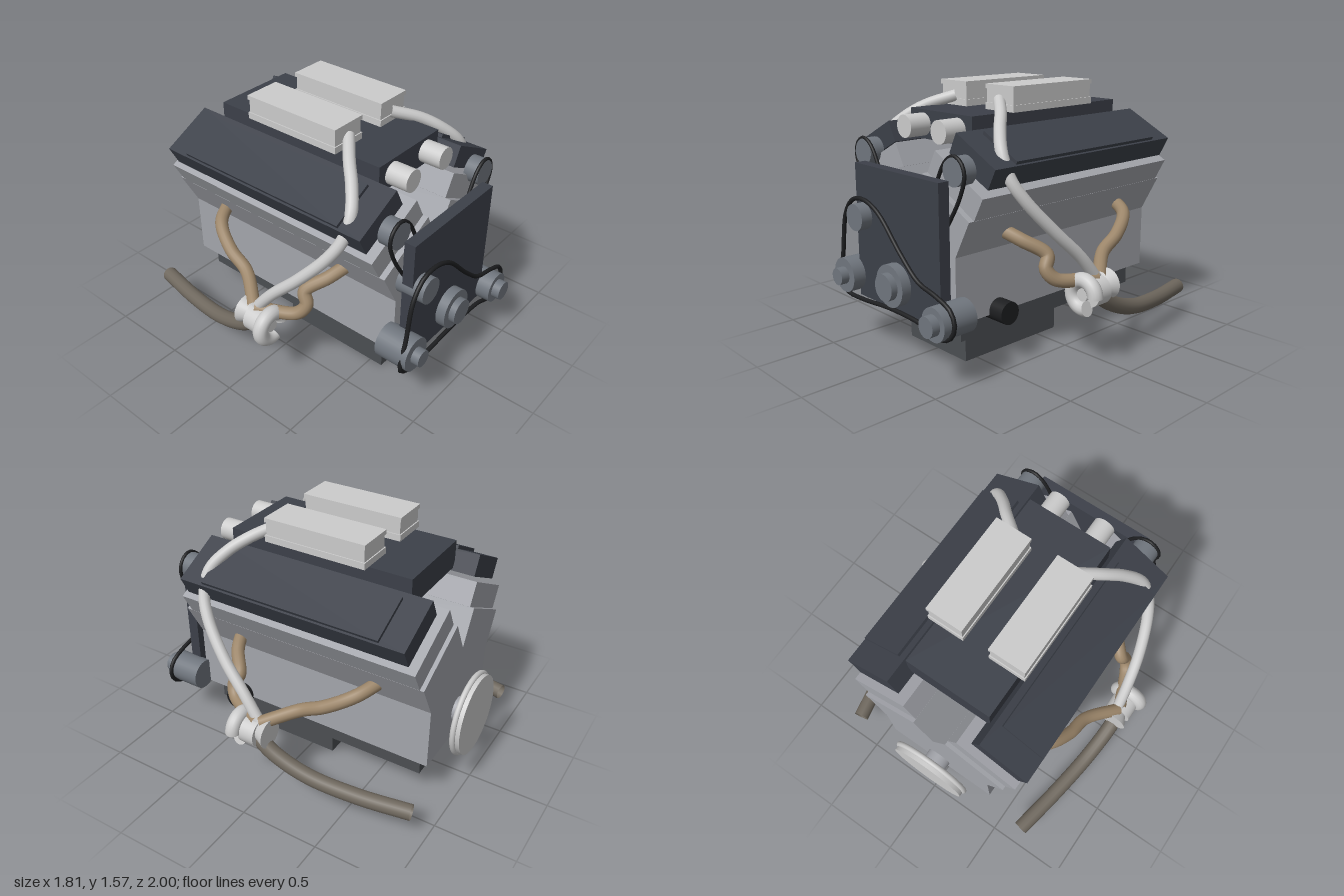
import * as THREE from 'three';

const paint = (color) => new THREE.MeshStandardMaterial({ color, side: THREE.DoubleSide });

export function createModel() {
  const model = new THREE.Group();
  const mat = {
    light: paint(0xcccccc), block: paint(0xa3a5ab), dark: paint(0x3c4049), pan: paint(0x4b4e52),
    pulley: paint(0x70767e), tan: paint(0x9c866a), pipe: paint(0x6f685e), rubber: paint(0x1d1e20),
  };

  const add = (name, geometry, material, x = 0, y = 0, z = 0, parent = model) => {
    const mesh = new THREE.Mesh(geometry, material);
    mesh.name = name;
    mesh.position.set(x, y, z);
    parent.add(mesh);
    return mesh;
  };
  // Box given by its limits on each axis
  const box = (name, material, [x0, x1], [y0, y1], [z0, z1]) =>
    add(name, new THREE.BoxGeometry(x1 - x0, y1 - y0, z1 - z0), material,
      (x0 + x1) / 2, (y0 + y1) / 2, (z0 + z1) / 2);
  // Cylinder lying along z from z0 to z1
  const disc = (name, material, x, y, r, z0, z1, rBack = r) =>
    add(name, new THREE.CylinderGeometry(r, rBack, z1 - z0, 32).rotateX(Math.PI / 2), material, x, y, (z0 + z1) / 2);
  const tube = (name, material, points, r, closed = false) => {
    const curve = new THREE.CatmullRomCurve3(points.map((p) => new THREE.Vector3(...p)), closed);
    return add(name, new THREE.TubeGeometry(curve, 64, r, 14, closed), material);
  };

  // Engine block: crankcase with two banks forming a V
  const half = [[0.38, 0.3], [0.38, 0.69], [0.496, 0.91], [0.11, 1.115]];
  const outline = [...half, [0, 0.91], ...half.map(([x, y]) => [-x, y]).reverse()];
  const blockShape = new THREE.Shape(outline.map(([x, y]) => new THREE.Vector2(x, y)));
  add('engineBlock', new THREE.ExtrudeGeometry(blockShape, { depth: 1.62, bevelEnabled: false }), mat.block, 0, 0, -0.87);

  // Oil pan and sump
  box('oilPan', mat.pan, [-0.32, 0.32], [0.165, 0.3], [-0.8, 0.67]);
  box('oilSump', mat.pan, [-0.26, 0.26], [0, 0.165], [-0.155, 0.585]);
  const filter = add('oilFilter', new THREE.CylinderGeometry(0.068, 0.068, 0.2, 28), mat.rubber, 0.38, 0.32, 0.44);
  filter.rotation.z = Math.PI / 2;

  // Intake manifold
  box('intakeManifold', mat.dark, [-0.275, 0.275], [1.25, 1.42], [-0.66, 0.53]);

  // Flywheel with rounded rim
  disc('crankshaftEnd', mat.block, 0, 0.475, 0.077, -0.95, -0.86);
  disc('flywheel', mat.light, 0, 0.475, 0.25, -1, -0.94);
  add('flywheelRim', new THREE.TorusGeometry(0.25, 0.017, 12, 48), mat.light, 0, 0.475, -0.957);

  // Parts found on both sides
  for (const s of [1, -1]) {
    const m = (points) => points.map(([x, y, z]) => [s * x, y, z]);

    const head = add('cylinderHead', new THREE.BoxGeometry(0.436, 0.147, 1.56), mat.block, s * 0.3375, 1.078, -0.065);
    head.rotation.z = -s * 0.489;

    const cover = new THREE.Group();
    cover.name = 'valveCover';
    cover.position.set(s * 0.43, 1.215, 0);
    cover.rotation.z = -s * 0.471;
    model.add(cover);
    add('valveCoverBody', new THREE.BoxGeometry(0.345, 0.13, 1.47), mat.dark, 0, 0, -0.065, cover);
    add('valveCoverPanel', new THREE.BoxGeometry(0.29, 0.03, 1.16), mat.dark, s * 0.015, 0.07, -0.065, cover);

    // Ribbed intercooler box
    const side = (a, b) => (s > 0 ? [a, b] : [-b, -a]);
    box('intercoolerBase', mat.light, side(0.085, 0.32), [1.42, 1.46], [-0.395, 0.262]);
    box('intercoolerCore', mat.light, side(0.092, 0.313), [1.46, 1.54], [-0.388, 0.255]);
    box('intercoolerLid', mat.light, side(0.085, 0.32), [1.54, 1.567], [-0.395, 0.262]);

    disc('intakeInlet', mat.light, s * 0.155, 1.335, 0.067, 0.5, 0.67);

    // Cam drive
    disc('camPulley', mat.pulley, s * 0.41, 1.17, 0.08, 0.69, 0.785);
    tube('timingBelt', mat.rubber, m([
      [0.494, 1.16, 0.775], [0.468, 1.225, 0.775], [0.41, 1.253, 0.775], [0.345, 1.22, 0.775],
      [0.27, 1.1, 0.775], [0.1, 0.65, 0.775], [0, 0.42, 0.775], [0.16, 0.6, 0.775],
      [0.385, 0.92, 0.775], [0.46, 1.05, 0.775],
    ]), 0.011, true);

    // Exhaust headers
    tube('frontHeader', mat.tan, m([[0.36, 0.8, 0.43], [0.5, 0.74, 0.37], [0.61, 0.66, 0.28],
      [0.63, 0.59, 0.31], [0.67, 0.53, 0.27], [0.77, 0.51, 0.04]]), 0.04);
    tube('rearHeader', mat.tan, m([[0.36, 0.8, -0.57], [0.53, 0.75, -0.48], [0.61, 0.66, -0.32],
      [0.635, 0.59, -0.17], [0.77, 0.51, 0.02]]), 0.04);

    // Turbocharger: scroll, housing and outlet flare
    add('turboScroll', new THREE.TorusGeometry(0.083, 0.045, 16, 40, Math.PI * 1.6), mat.light, s * 0.775, 0.44, 0.155);
    for (const a of [0, Math.PI * 1.6]) {
      const cap = add('turboScrollEnd', new THREE.CircleGeometry(0.045, 16), mat.light,
        s * 0.775 + 0.083 * Math.cos(a), 0.44 + 0.083 * Math.sin(a), 0.155);
      cap.rotation.set(Math.PI / 2, a, 0, 'ZXY');
      cap.rotation.set(0, 0, 0);
      cap.lookAt(cap.position.x - Math.sin(a), cap.position.y + Math.cos(a), 0.155);
    }
    disc('turboHub', mat.light, s * 0.775, 0.44, 0.037, 0.1, 0.17);
    disc('turboHousing', mat.light, s * 0.775, 0.44, 0.085, 0.015, 0.12);
    disc('turboFlare', mat.light, s * 0.775, 0.46, 0.05, -0.05, 0.03, 0.09);

    tube('downpipe', mat.pipe, m([[0.78, 0.42, 0.05], [0.78, 0.33, -0.08], [0.76, 0.245, -0.3],
      [0.715, 0.205, -0.6], [0.655, 0.195, -0.92]]), 0.048);
    tube('boostPipe', mat.light, m([[0.76, 0.5, 0.03], [0.74, 0.65, 0.15], [0.7, 0.81, 0.31],
      [0.63, 1, 0.47], [0.575, 1.12, 0.53], [0.51, 1.25, 0.53], [0.42, 1.35, 0.46],
      [0.33, 1.42, 0.37], [0.19, 1.48, 0.25]]), 0.035);
  }

  // Timing cover
  box('timingCover', mat.dark, [-0.385, 0.385], [0.31, 1.12], [0.79, 0.86]);

  // Accessory drive: name, x, y, radius, back, front, hub radius, hub front
  const accessories = [
    ['idler', -0.31, 0.815, 0.08, 0.75, 0.93, 0, 0],
    ['crankPulley', 0, 0.475, 0.125, 0.85, 0.92, 0.08, 0.96],
    ['alternator', -0.43, 0.44, 0.105, 0.73, 0.94, 0.052, 0.99],
    ['pump', 0.43, 0.38, 0.097, 0.725, 0.95, 0.06, 1],
  ];
  for (const [name, x, y, r, z0, z1, hubR, hubZ] of accessories) {
    disc(name, mat.pulley, x, y, r, z0, z1);
    if (hubR) disc(name + 'Hub', mat.pulley, x, y, hubR, z1, hubZ);
  }

  // Serpentine belt
  const path = [[-0.53, 0.41], [-0.49, 0.55], [-0.44, 0.81], [-0.36, 0.91], [-0.25, 0.93], [-0.11, 0.88],
    [0.1, 0.68], [0.25, 0.56], [0.4, 0.52], [0.52, 0.47], [0.555, 0.39], [0.51, 0.31], [0.4, 0.285],
    [0.3, 0.32], [0, 0.335], [-0.3, 0.315], [-0.45, 0.32], [-0.52, 0.36]];
  tube('accessoryBelt', mat.rubber, path.map(([x, y]) => [x, y, 0.905]), 0.013, true);

  return model;
}
